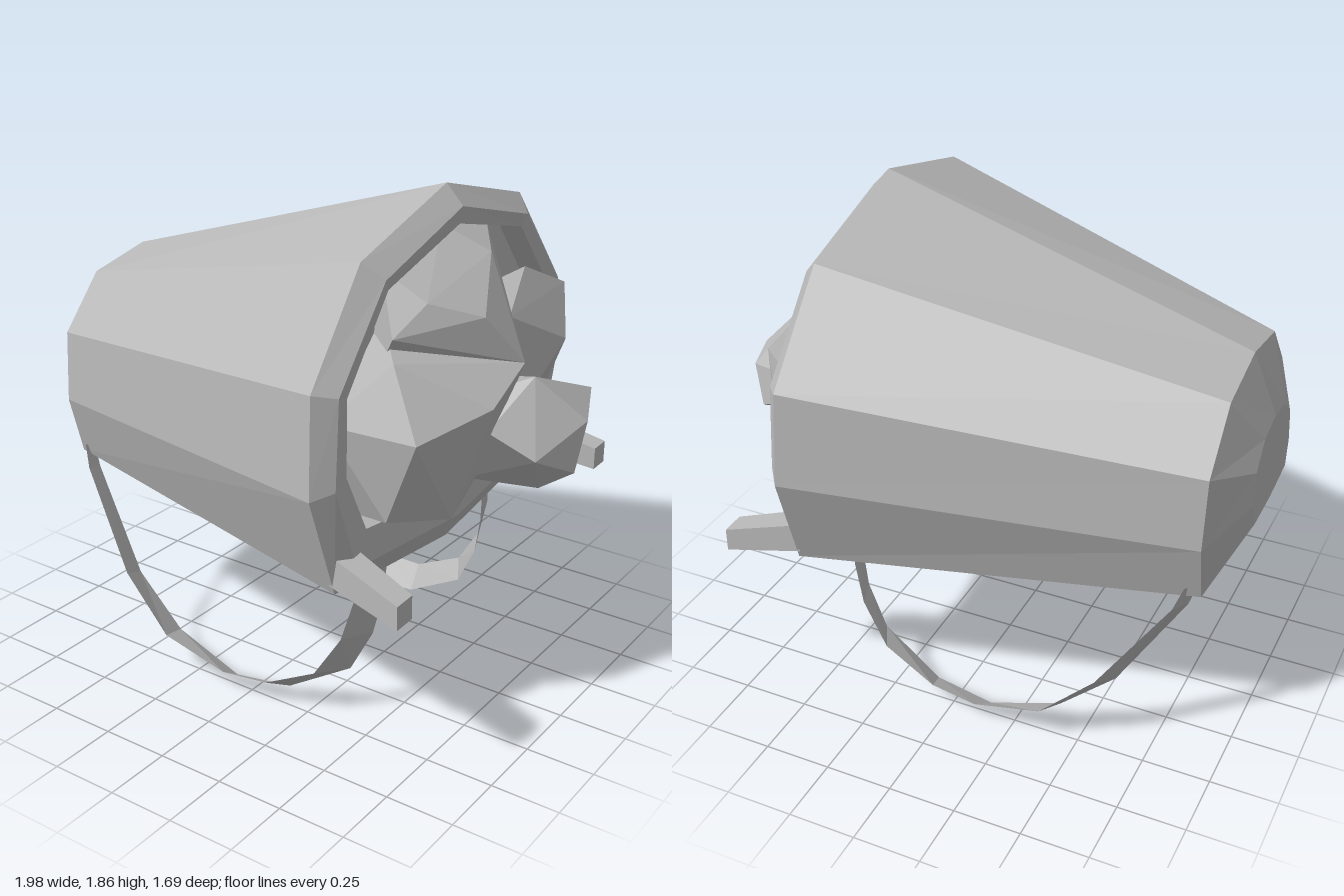
import * as THREE from 'three';
import { ConvexGeometry } from 'three/addons/geometries/ConvexGeometry.js';

const grey = new THREE.MeshStandardMaterial({ color: 0xb8b8b8, flatShading: true, side: THREE.DoubleSide });
grey.name = 'plain grey';

// the whole basket is turned very slightly, so x leans with z
const lean = ([x, y, z]) => [x + 0.025 * z, y, z];

// skin between cross-sections; rings run from -x to +x
function loft(rings, { closed = true, startCap = false, endCap = false } = {}) {
  const n = rings[0].length, index = [];
  const pos = rings.flat().flatMap(lean);
  for (let r = 0; r < rings.length - 1; r++) {
    for (let i = 0; i < (closed ? n : n - 1); i++) {
      const a = r * n + i, b = r * n + (i + 1) % n;
      index.push(a, b, a + n, b, b + n, a + n);
    }
  }
  const last = (rings.length - 1) * n;
  for (let i = 1; i < n - 1; i++) {
    if (startCap) index.push(0, i + 1, i);
    if (endCap) index.push(last, last + i, last + i + 1);
  }
  const g = new THREE.BufferGeometry();
  g.setAttribute('position', new THREE.Float32BufferAttribute(pos, 3));
  g.setIndex(index);
  const flat = g.toNonIndexed();
  flat.computeVertexNormals();
  return flat;
}

// half outline [z, y] from top to bottom, mirrored into a full ring; x goes from top to bottom
function ring(xTop, xBottom, half) {
  const yTop = half[0][1], yBot = half[half.length - 1][1];
  const full = [...half, ...half.slice(1, -1).reverse().map(([z, y]) => [-z, y])];
  return full.map(([z, y]) => [xTop + (xBottom - xTop) * (yTop - y) / (yTop - yBot), y, z]);
}

export function createModel() {
  const group = new THREE.Group();
  const add = (name, geometry) => {
    const mesh = new THREE.Mesh(geometry, grey);
    mesh.name = name;
    group.add(mesh);
  };

  // basket: closed base, tapered wall, bevelled lip and inner wall
  const outer = [[0, 1.86], [0.53, 1.72], [0.82, 1.38], [0.845, 1.04], [0.72, 0.67], [0, 0.58]];
  const lip = [[0, 1.79], [0.48, 1.66], [0.75, 1.36], [0.775, 1.06], [0.66, 0.75], [0, 0.67]];
  const inner = [[0, 1.73], [0.45, 1.62], [0.69, 1.34], [0.70, 1.08], [0.59, 0.86], [0, 0.77]];
  add('basket', loft([
    ring(-0.98, -0.99, [[0, 1.22], [0.13, 1.2], [0.22, 1.12], [0.23, 1.0], [0.2, 0.91], [0, 0.9]]),
    ring(-0.89, -0.88, [[0, 1.44], [0.27, 1.39], [0.45, 1.2], [0.47, 0.94], [0.41, 0.715], [0, 0.7]]),
    ring(0.465, 0.505, outer),
    ring(0.53, 0.55, lip),
    ring(0.52, 0.54, inner),
    ring(0.4, 0.42, inner),
  ], { startCap: true }));

  // load: a flat bed with faceted lumps on it
  add('loadBed', loft([ring(0.38, 0.38, inner), ring(0.43, 0.43, inner)], { endCap: true }));
  const lumps = {
    sideLump: [
      [0.73, 1.2, 0.61], [0.85, 1.26, 0.34], [0.74, 0.87, 0.39], [0.6, 0.89, 0.57], [0.8, 1.31, 0.03],
      [0.78, 1.1, 0.22], [0.62, 0.84, 0.0], [0.6, 1.42, 0.54], [0.4, 1.2, 0.63], [0.4, 0.85, 0.5], [0.4, 1.5, 0.3],
    ],
    topLump: [
      [0.72, 1.49, 0.17], [0.6, 1.56, 0.34], [0.6, 1.63, -0.08], [0.8, 1.31, 0.03], [0.62, 1.37, -0.2],
      [0.57, 1.48, 0.5], [0.45, 1.72, 0], [0.44, 1.65, 0.36], [0.44, 1.65, -0.34], [0.4, 1.2, 0.4], [0.4, 1.2, -0.3],
    ],
    farLump: [
      [0.7, 1.22, -0.5], [0.64, 1.4, -0.59], [0.6, 1.1, -0.62], [0.55, 0.87, -0.56], [0.62, 1.37, -0.2],
      [0.66, 1.12, -0.3], [0.62, 0.86, -0.05], [0.58, 1.5, -0.38], [0.4, 1.2, -0.65], [0.4, 0.85, -0.5], [0.4, 1.4, 0],
    ],
    frontRock: [
      [0.84, 1.27, 0.03], [0.78, 1.13, 0.24], [0.99, 1.11, -0.08], [0.9, 1.14, -0.3], [0.86, 0.99, -0.33],
      [0.92, 1.03, 0.16], [0.98, 0.94, -0.02], [0.85, 0.85, -0.02], [0.84, 0.92, -0.2], [0.6, 0.85, 0.05],
      [0.55, 1.1, -0.32], [0.55, 1.15, 0.2],
    ],
  };
  for (const [name, points] of Object.entries(lumps)) {
    add(name, new ConvexGeometry(points.map(p => new THREE.Vector3(...lean(p)))));
  }

  for (const [side, s] of [['left', 1], ['right', -1]]) {
    // mirrored sections are reversed so the faces stay outward
    const place = sections => sections.map(sec =>
      s > 0 ? sec : sec.map(([x, y, z]) => [x, y, -z]).reverse());

    // carrying pegs at the lower corners of the rim
    const square = (x, z0, z1, y0, y1) => [[x, y1, z0], [x, y1, z1], [x, y0, z1], [x, y0, z0]];
    add(side + 'Peg', loft(place([
      square(0.49, 0.62, 0.73, 0.7, 0.81),
      square(0.77, 0.68, 0.77, 0.65, 0.735),
    ]), { startCap: true, endCap: true }));

    // shoulder strap: a thin band, each section an outer and an inner edge
    add(side + 'Strap', loft(place([
      [[-0.83, 0.76, 0.45], [-0.86, 0.74, 0.37]],
      [[-0.8, 0.68, 0.47], [-0.83, 0.65, 0.38]],
      [[-0.56, 0.34, 0.55], [-0.6, 0.28, 0.43]],
      [[-0.36, 0.15, 0.57], [-0.4, 0.1, 0.44]],
      [[-0.1, 0.08, 0.56], [-0.12, 0.005, 0.45]],
      [[0.08, 0.09, 0.54], [0.11, 0.03, 0.43]],
      [[0.28, 0.19, 0.52], [0.35, 0.17, 0.39]],
      [[0.38, 0.35, 0.5], [0.43, 0.33, 0.37]],
      [[0.42, 0.5, 0.48], [0.46, 0.48, 0.35]],
      [[0.43, 0.66, 0.46], [0.47, 0.66, 0.34]],
    ]), { closed: false }));
  }
  return group;
}
